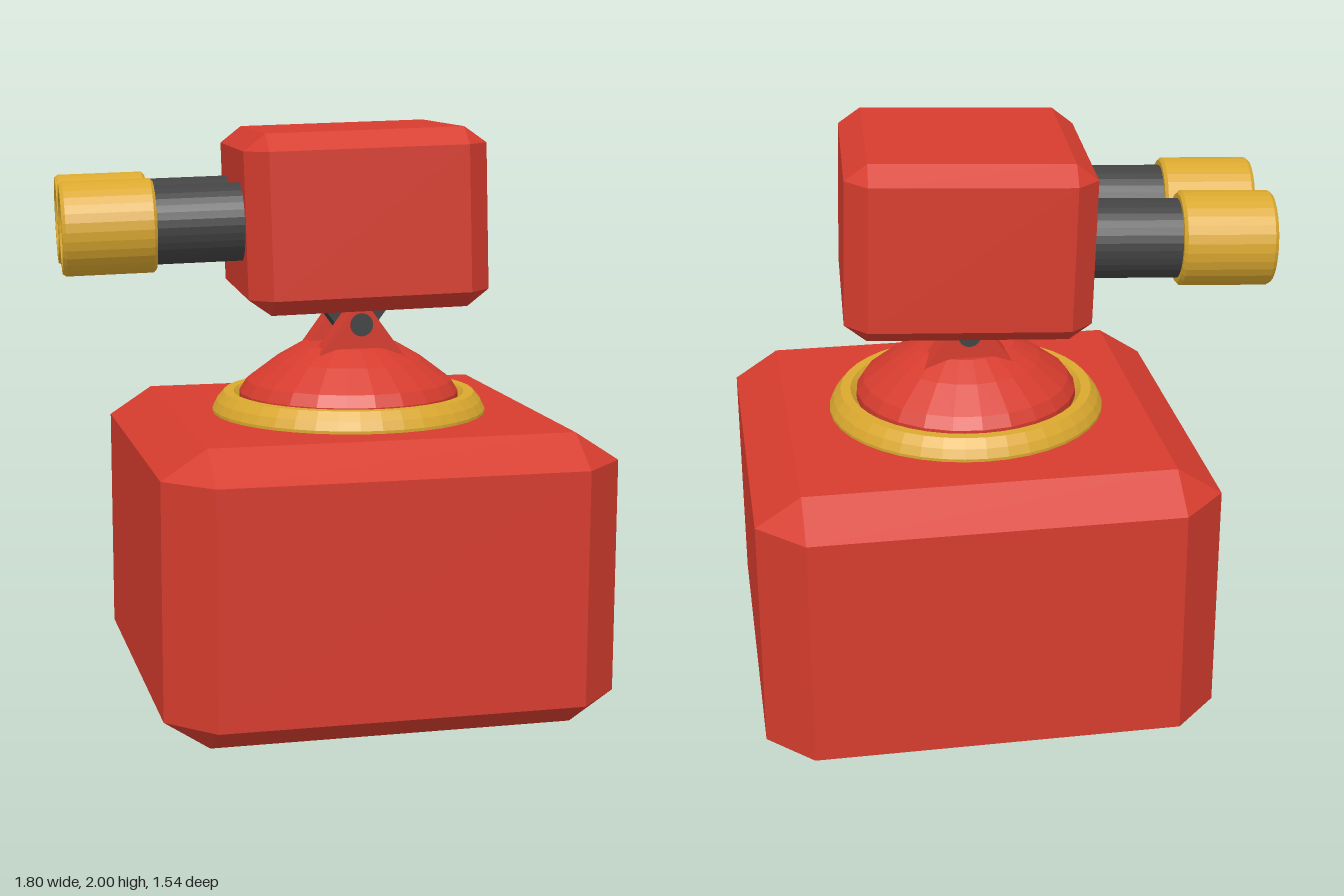
import * as THREE from 'three';
import { ConvexGeometry } from 'three/addons/geometries/ConvexGeometry.js';

const paint = (name, color) => {
  const m = new THREE.MeshStandardMaterial({ color });
  m.name = name;
  return m;
};

// Gives every facet its own flat normal
function faceted(geometry) {
  const g = geometry.index ? geometry.toNonIndexed() : geometry;
  g.computeVertexNormals();
  return g;
}

// Box with every edge cut off, chamfer given per axis
function chamferBox(w, h, d, cx, cy, cz) {
  const x = w / 2, y = h / 2, z = d / 2, pts = [];
  for (const i of [-1, 1]) for (const j of [-1, 1]) for (const k of [-1, 1]) {
    pts.push(
      new THREE.Vector3(i * x, j * (y - cy), k * (z - cz)),
      new THREE.Vector3(i * (x - cx), j * y, k * (z - cz)),
      new THREE.Vector3(i * (x - cx), j * (y - cy), k * z));
  }
  return new ConvexGeometry(pts);
}

const lathe = (points, segments = 32) =>
  faceted(new THREE.LatheGeometry(points.map(p => new THREE.Vector2(...p)), segments));

// Flat plate with its outline in x and y, centred on z = 0
function plate(points, depth) {
  const shape = new THREE.Shape(points.map(p => new THREE.Vector2(...p)));
  return new THREE.ExtrudeGeometry(shape, { depth, bevelEnabled: false }).translate(0, 0, -depth / 2);
}

export function createModel() {
  const red = paint('red paint', 0xd63c2e);
  const gold = paint('gold trim', 0xdaa82f);
  const dark = paint('dark metal', 0x434343);
  const model = new THREE.Group();
  model.name = 'turret';

  function add(parent, name, geometry, material, x = 0, y = 0, z = 0) {
    const mesh = new THREE.Mesh(geometry, material);
    mesh.name = name;
    mesh.position.set(x, y, z);
    parent.add(mesh);
    return mesh;
  }

  // Base block
  add(model, 'base', chamferBox(1.545, 1, 1.545, 0.153, 0.1, 0.155), red, 0.128, 0.5, 0);

  // Turntable: trim ring and dome
  const mount = new THREE.Group();
  mount.name = 'mount';
  mount.position.set(0.118, 0, 0.022);
  model.add(mount);
  add(mount, 'trimRing', lathe([[0.48, 0.99], [0.48, 1.01], [0.465, 1.04], [0.44, 1.07],
    [0.405, 1.07], [0.375, 1.03], [0.375, 0.99]], 40), gold);
  add(mount, 'dome', lathe([[0.385, 1.0], [0.385, 1.07], [0.36, 1.11], [0.26, 1.185],
    [0.17, 1.237], [0, 1.243]], 24), red);

  // Yoke: two red brackets, a dark lug between them and the pivot pin
  const bracket = plate([[-0.16, 1.2], [0.16, 1.2], [0.02, 1.39], [-0.02, 1.39]], 0.09);
  for (const s of [-1, 1]) add(mount, 'yokeBracket', bracket, red, 0.008, 0, s * 0.107);
  add(mount, 'headLug', plate([[-0.02, 1.24], [0.02, 1.24], [0.155, 1.42], [-0.155, 1.42]], 0.11),
    dark, 0.014, 0, 0);
  add(mount, 'pivotPin', faceted(new THREE.CylinderGeometry(0.04, 0.04, 0.316, 16)), dark, 0.008, 1.32, 0)
    .rotation.x = Math.PI / 2;

  // Head, slightly turned and tilted
  const head = new THREE.Group();
  head.name = 'head';
  head.position.set(0.13, 1.688, -0.004);
  head.rotation.set(0, -0.066, 0.03);
  model.add(head);
  add(head, 'headShell', chamferBox(0.818, 0.603, 0.809, 0.075, 0.056, 0.077), red);

  // Twin barrels with hollow muzzle sleeves
  const tube = faceted(new THREE.CylinderGeometry(0.132, 0.132, 0.54, 32));
  const sleeve = lathe([[0.115, 0], [0.148, 0], [0.158, 0.01], [0.158, 0.3], [0.15, 0.312],
    [0.122, 0.312], [0.113, 0.3], [0.113, 0]]);
  for (const z of [-0.193, 0.175]) {
    const barrel = new THREE.Group();
    barrel.name = 'barrel';
    barrel.position.set(-0.7, 0.004, z);
    barrel.rotation.z = Math.PI / 2;
    head.add(barrel);
    add(barrel, 'barrelTube', tube, dark, 0, -0.07, 0);
    add(barrel, 'muzzleSleeve', sleeve, gold);
  }
  return model;
}
